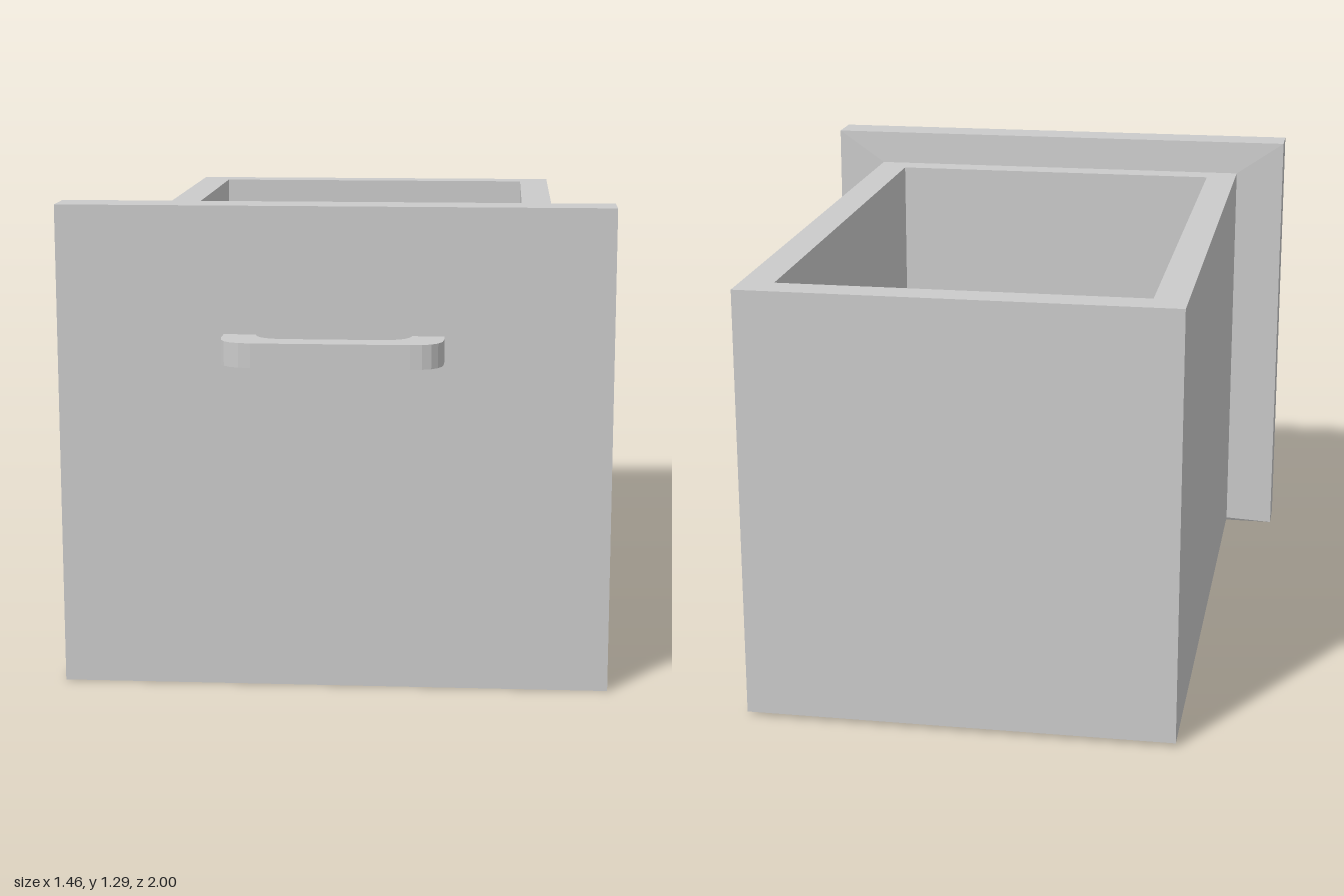
import * as THREE from 'three';

const material = new THREE.MeshStandardMaterial({ color: 0xcccccc, flatShading: true });

function addPart(group, name, geometry, x = 0, y = 0, z = 0) {
  const mesh = new THREE.Mesh(geometry, material);
  mesh.name = name;
  mesh.position.set(x, y, z);
  group.add(mesh);
}

// Extrude an outline drawn in x and z upwards by the given height
function extrudeUp(shape, height) {
  return new THREE.ExtrudeGeometry(shape, { depth: height, bevelEnabled: false, curveSegments: 5 })
    .rotateX(Math.PI / 2).translate(0, height, 0);
}

function rectangle(PathType, halfWidth, z0, z1) {
  return new PathType([
    [-halfWidth, z0], [halfWidth, z0], [halfWidth, z1], [-halfWidth, z1],
  ].map(([x, z]) => new THREE.Vector2(x, z)));
}

export function createModel() {
  const group = new THREE.Group();
  group.name = 'drawer';

  const bottom = 0.01, top = 1.195, wall = 0.09;
  const halfWidth = 0.585, back = -1, front = 0.74;
  const panelBack = 0.746, panelFront = 0.86, panelWidth = 1.464, panelHeight = 1.295;

  // Four walls around the open compartment
  const walls = rectangle(THREE.Shape, halfWidth, back, front);
  walls.holes.push(rectangle(THREE.Path, 0.495, back + wall, 0.66));
  addPart(group, 'walls', extrudeUp(walls, top - bottom), 0, bottom, 0);

  // Floor between the walls
  const floorDepth = 0.66 - (back + wall);
  addPart(group, 'floor', new THREE.BoxGeometry(0.99, wall, floorDepth),
    0, bottom + wall / 2, back + wall + floorDepth / 2);

  // Front panel
  addPart(group, 'frontPanel',
    new THREE.BoxGeometry(panelWidth, panelHeight, panelFront - panelBack),
    0, panelHeight / 2, (panelFront + panelBack) / 2);

  // Shallow taper from the panel's back to the outline of the walls
  const taper = new THREE.BoxGeometry(panelWidth, panelHeight, panelBack - front);
  const p = taper.attributes.position;
  for (let i = 0; i < p.count; i++) {
    if (p.getZ(i) > 0) continue;
    p.setX(i, Math.sign(p.getX(i)) * halfWidth);
    p.setY(i, (p.getY(i) > 0 ? top : bottom) - panelHeight / 2);
  }
  taper.computeVertexNormals();
  addPart(group, 'panelTaper', taper, 0, panelHeight / 2, (panelBack + front) / 2);

  // Bow handle with rounded outer and inner corners
  const bow = new THREE.Shape();
  bow.moveTo(-0.29, panelFront);
  bow.lineTo(-0.29, 0.915);
  bow.quadraticCurveTo(-0.29, 1, -0.205, 1);
  bow.lineTo(0.205, 1);
  bow.quadraticCurveTo(0.29, 1, 0.29, 0.915);
  bow.lineTo(0.29, panelFront);
  bow.lineTo(0.205, panelFront);
  bow.quadraticCurveTo(0.2, 0.927, 0.12, 0.927);
  bow.lineTo(-0.12, 0.927);
  bow.quadraticCurveTo(-0.2, 0.927, -0.205, panelFront);
  addPart(group, 'handle', extrudeUp(bow, 0.064), 0, 0.893, 0);

  return group;
}
